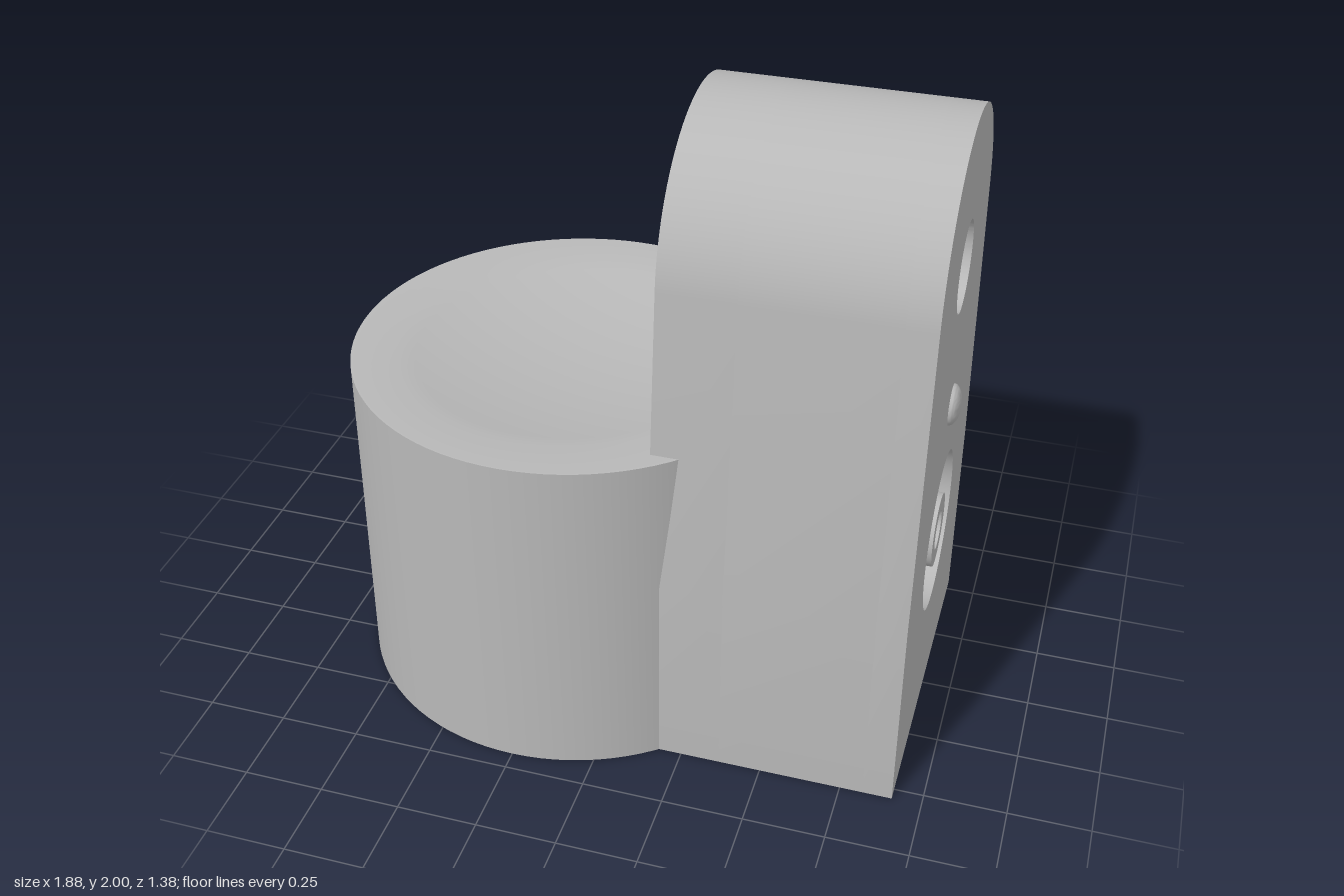
import * as THREE from 'three';
import { toCreasedNormals } from 'three/addons/utils/BufferGeometryUtils.js';

export function createModel() {
  const model = new THREE.Group();
  model.name = 'mountingBracket';
  const grey = new THREE.MeshStandardMaterial({ color: 0xb8b8b8 });
  grey.name = 'plain grey';

  const add = (name, geometry, crease = 0.3) => {
    const mesh = new THREE.Mesh(toCreasedNormals(geometry, crease), grey);
    mesh.name = name;
    model.add(mesh);
    return mesh;
  };
  const lathe = (points, segments) =>
    new THREE.LatheGeometry(points.map(([r, y]) => new THREE.Vector2(r, y)), segments);

  // Round base: countersunk hole below, shallow dish on top
  const profile = [[0, 0.35], [0.15, 0.35], [0.15, 0.04], [0.19, 0], [0.69, 0], [0.69, 1.08]];
  for (let i = 0; i <= 10; i++) {
    const t = 1 - i / 10;
    profile.push([0.55 * t, 1.08 - 0.06 * (1 - t * t)]);
  }
  add('roundBase', lathe(profile, 96)).position.x = -0.25;

  // Tapered upright, cut into slabs along x so each can carry its own holes
  const slab = (name, x0, x1, holes) => {
    const shape = new THREE.Shape();
    shape.moveTo(-0.54, 0);
    shape.lineTo(0.54, 0);
    shape.lineTo(0.54, 0.64);
    shape.absarc(0, 1.54, 0.46, 0.085, Math.PI - 0.085, false);
    shape.lineTo(-0.54, 0.64);
    shape.closePath();
    for (const [y, r] of holes) {
      const hole = new THREE.Path();
      hole.absarc(0, y, r, 0, Math.PI * 2, true);
      shape.holes.push(hole);
    }
    const geometry = new THREE.ExtrudeGeometry(shape, {
      depth: x1 - x0, bevelEnabled: false, curveSegments: 56,
    });
    geometry.rotateY(Math.PI / 2);
    geometry.translate(x0, 0, 0);
    add(name, geometry, 0.2);
  };
  slab('uprightCounterbore', 0.14, 0.37, [[1.54, 0.24]]);
  slab('uprightCore', 0.37, 0.82, [[1.54, 0.135]]);
  slab('uprightOuterFace', 0.82, 0.91, [[1.54, 0.135], [0.62, 0.25]]);

  // Boss standing in the recess, with a round-bottomed socket
  const boss = [[0.115, 0], [0.115, 0.09]];
  for (let i = 0; i <= 10; i++) {
    const a = (i / 10) * Math.PI / 2;
    boss.push([0.062 * Math.cos(a), 0.09 - 0.062 * Math.sin(a)]);
  }
  const bossGeometry = lathe(boss, 40);
  bossGeometry.rotateZ(-Math.PI / 2);
  add('recessBoss', bossGeometry).position.set(0.82, 0.62, 0);

  // Small domed button on the outer face
  const dome = new THREE.SphereGeometry(0.063, 32, 12, 0, Math.PI * 2, 0, Math.PI / 2);
  dome.scale(1, 0.48, 1);
  dome.rotateZ(-Math.PI / 2);
  add('domedButton', dome, 0.6).position.set(0.91, 1.08, 0);

  return model;
}
